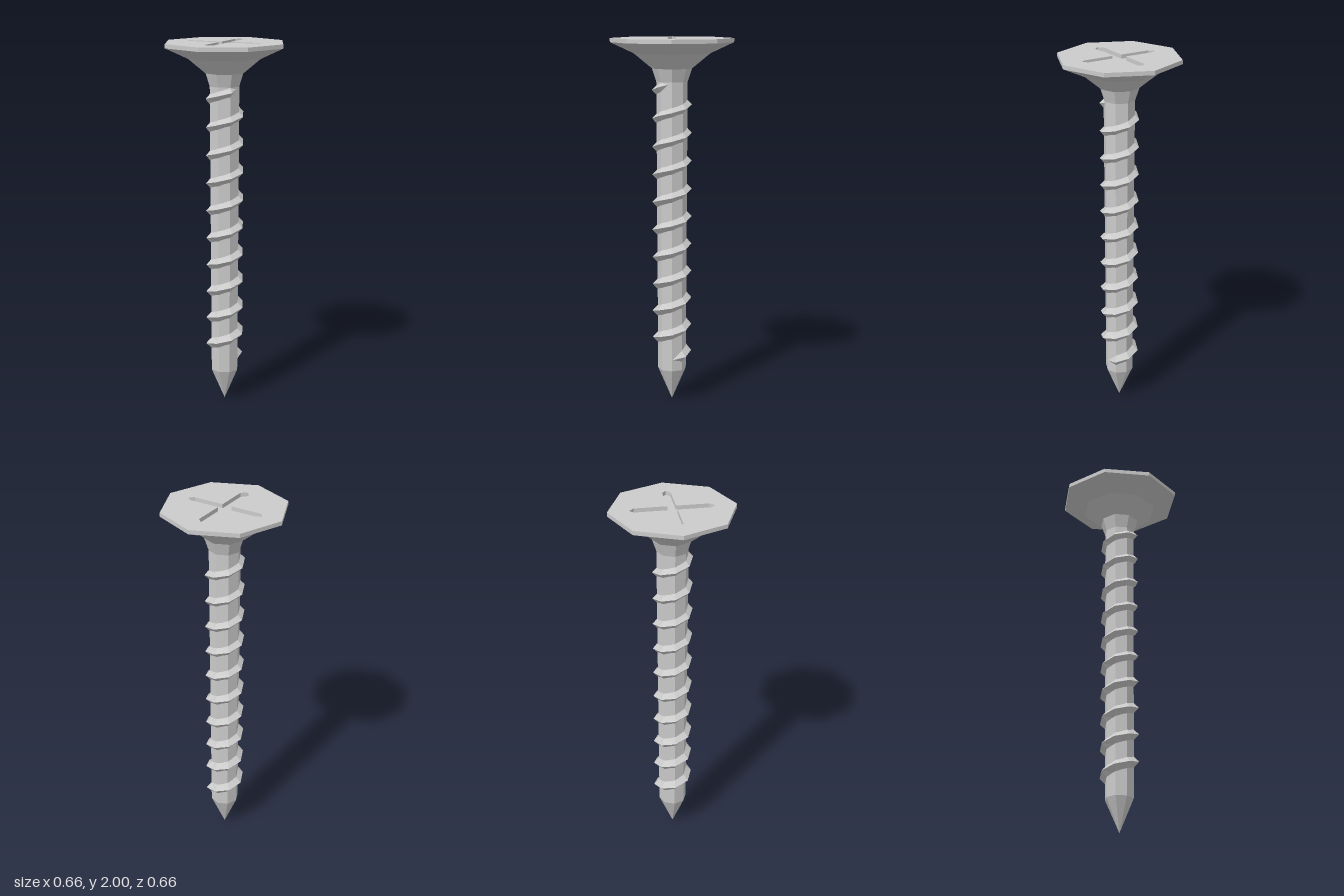
import * as THREE from 'three';

const SIDES = 8;
const RIM_Y = 1.978;
const HEAD_R = 0.33;

const material = new THREE.MeshStandardMaterial({ color: 0xcccccc, flatShading: true });

function addPart(group, name, geometry) {
  const mesh = new THREE.Mesh(geometry, material);
  mesh.name = name;
  group.add(mesh);
}

// Revolved solid with eight flat sides
function lathe(points) {
  return new THREE.LatheGeometry(points.map(([r, y]) => new THREE.Vector2(r, y)), SIDES);
}

// Octagonal rim plate pierced by the pointed cross slot
function headPlate() {
  const shape = new THREE.Shape();
  for (let i = 0; i < SIDES; i++) {
    const a = (i / SIDES) * Math.PI * 2;
    const x = HEAD_R * Math.cos(a), y = HEAD_R * Math.sin(a);
    if (i === 0) shape.moveTo(x, y);
    else shape.lineTo(x, y);
  }
  shape.closePath();

  const w = 0.026, h = 0.022, end = 0.194, tip = 0.218;
  const quarter = [[tip, 0], [end, h], [w, h], [w, end], [0, tip]];
  const mirror = (sx, sy) => quarter.map(([x, y]) => new THREE.Vector2(x * sx, y * sy));
  const outline = [
    ...mirror(1, 1).slice(0, 4),
    ...mirror(-1, 1).reverse().slice(0, 4),
    ...mirror(-1, -1).slice(0, 4),
    ...mirror(1, -1).reverse().slice(0, 4),
  ];
  shape.holes.push(new THREE.Path(outline.reverse()));

  const geometry = new THREE.ExtrudeGeometry(shape, { depth: 2 - RIM_Y, bevelEnabled: false });
  geometry.rotateX(-Math.PI / 2);
  geometry.translate(0, RIM_Y, 0);
  return geometry;
}

// Triangular ridge swept along a helix, tapering to a point at both ends
function threadRidge() {
  const turns = 10, pitch = 0.152, startY = 0.243;
  const steps = turns * SIDES;
  const positions = [], index = [];
  for (let i = 0; i <= steps; i++) {
    const a = (i / SIDES) * Math.PI * 2;
    const y = startY + (i / SIDES) * pitch;
    const full = i > 0 && i < steps;
    const base = full ? 0.07 : 0.076;
    const crest = full ? 0.107 : 0.076;
    const half = full ? 0.039 : 0;
    for (const [r, dy] of [[base, -half], [crest, 0], [base, half]]) {
      positions.push(r * Math.cos(a), y + dy, -r * Math.sin(a));
    }
    if (i === steps) continue;
    for (let k = 0; k < 2; k++) {
      const p = i * 3 + k, q = p + 3;
      index.push(p, q, p + 1, p + 1, q, q + 1);
    }
  }
  const geometry = new THREE.BufferGeometry();
  geometry.setAttribute('position', new THREE.Float32BufferAttribute(positions, 3));
  geometry.setIndex(index);
  geometry.computeVertexNormals();
  return geometry;
}

export function createModel() {
  const screw = new THREE.Group();
  screw.name = 'screw';

  // Pointed tip and slightly tapering shank
  addPart(screw, 'tip', lathe([[0, 0], [0.077, 0.18]]));
  addPart(screw, 'shank', lathe([[0.077, 0.18], [0.084, 1.77]]));

  // Flared countersunk head; its flat top is the floor of the slot
  addPart(screw, 'headFlare', lathe([
    [0.084, 1.77], [0.107, 1.84], [0.205, 1.92], [HEAD_R, RIM_Y], [0, RIM_Y],
  ]));
  addPart(screw, 'headPlate', headPlate());

  addPart(screw, 'thread', threadRidge());
  return screw;
}
